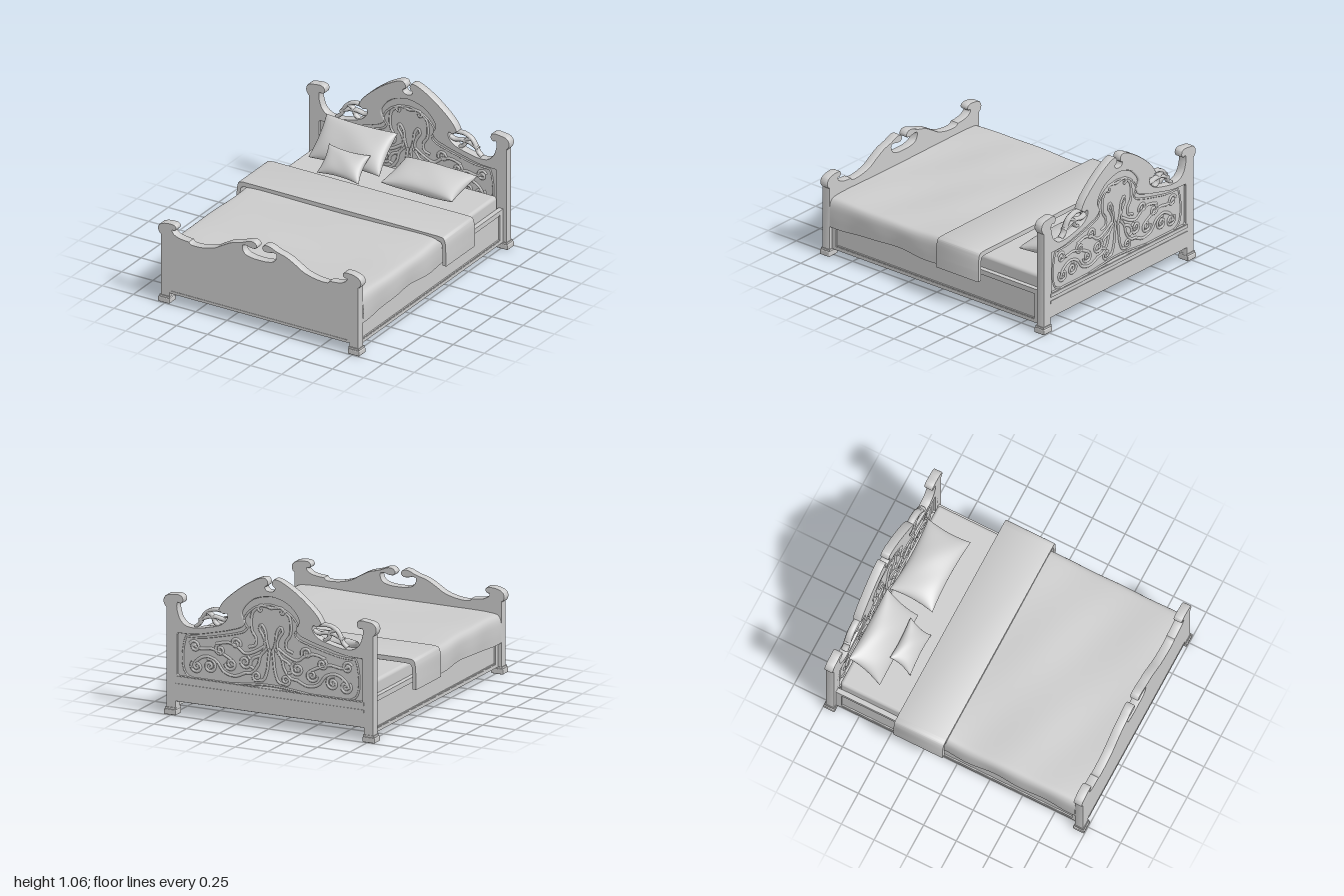
import * as THREE from 'three';
import { mergeGeometries, toCreasedNormals } from 'three/addons/utils/BufferGeometryUtils.js';
import { RoundedBoxGeometry } from 'three/addons/geometries/RoundedBoxGeometry.js';

const mat = new THREE.MeshStandardMaterial({ color: 0xcccccc, side: THREE.DoubleSide });

function add(parent, name, geo, x = 0, y = 0, z = 0) {
  const m = new THREE.Mesh(geo, mat);
  m.name = name;
  m.position.set(x, y, z);
  parent.add(m);
  return m;
}
const box = (p, name, w, h, d, x, y, z) => add(p, name, new THREE.BoxGeometry(w, h, d), x, y, z);

// Smooth run of 2D points
const smooth = (pts, n = 6) =>
  new THREE.CatmullRomCurve3(pts.map(([x, y]) => new THREE.Vector3(x, y, 0)), false, 'centripetal')
    .getPoints((pts.length - 1) * n).map(v => new THREE.Vector2(v.x, v.y));
// Closed outline: curved runs, then straight corners, down the right half; mirrored to the left
function mirrored(curves, corners) {
  const half = [...curves.flatMap(c => smooth(c)), ...corners.map(([x, y]) => new THREE.Vector2(x, y))]
    .filter((p, i, a) => i === 0 || p.distanceTo(a[i - 1]) > 1e-4);
  const left = half.filter(p => p.x > 1e-4).map(p => new THREE.Vector2(-p.x, p.y)).reverse();
  return [...half, ...left];
}
const slab = (pts, depth, hole, bevel = 0.006) => {
  const s = new THREE.Shape(pts);
  if (hole) s.holes.push(new THREE.Path(hole));
  const g = new THREE.ExtrudeGeometry(s, {
    depth: depth - 2 * bevel, bevelEnabled: bevel > 0, bevelSize: bevel * 0.5, bevelThickness: bevel, bevelSegments: 1,
  });
  g.translate(0, 0, -depth / 2 + bevel);
  return toCreasedNormals(g, 0.6);
};
// Carved strand, deeper in z so that it stands proud on both faces
const strand = (pts, r = 0.013, deep = 1.9, closed = false) => {
  const c = new THREE.CatmullRomCurve3(pts.map(p => new THREE.Vector3(p.x ?? p[0], p.y ?? p[1], 0)), closed, 'centripetal');
  return new THREE.TubeGeometry(c, Math.min(pts.length * 5, 240), r, 6, closed).scale(1, 1, deep);
};
const spiral = (cx, cy, r, turns, start, dir = 1) => Array.from({ length: 14 }, (_, i) => {
  const t = i / 13, a = start + dir * t * turns * Math.PI * 2, k = r * (1 - 0.8 * t);
  return [cx + Math.cos(a) * k, cy + Math.sin(a) * k];
});
const bothSides = (parent, name, geo, z) => {
  add(parent, name, geo, 0, 0, z);
  add(parent, name, geo, 0, 0, z).scale.x = -1;
};

// Plump cushion: two puffed faces meeting at a seam with pulled corners
function pillow(parent, name, w, h, t, pinch, pos, tilt, turn = 0) {
  const sides = [1, -1].map(s => {
    const g = new THREE.PlaneGeometry(2, 2, 28, 22), p = g.attributes.position;
    for (let i = 0; i < p.count; i++) {
      const u = Math.sin(p.getX(i) * Math.PI / 2), v = Math.sin(p.getY(i) * Math.PI / 2);
      const a = Math.max(0, 1 - u * u), b = Math.max(0, 1 - v * v);
      const puff = Math.pow(a * b, 0.42) * (1 + 0.04 * Math.sin(5 * u + 3 * v));
      p.setXYZ(i, s * u * w / 2 * (1 - pinch * 0.7 * b), v * h / 2 * (1 - pinch * a), s * puff * t / 2);
    }
    g.computeVertexNormals();
    return g;
  });
  const m = add(parent, name, mergeGeometries(sides), ...pos);
  m.rotation.set(tilt, turn, 0);
}

function headboard() {
  const g = new THREE.Group();
  g.name = 'headboard';
  const z = -0.953;
  const outline = mirrored([
    [[0, 0.965], [0.028, 0.972], [0.04, 0.995], [0.02, 1.012], [0.018, 1.035], [0.035, 1.055], [0.07, 1.052],
      [0.12, 1.03], [0.21, 0.975], [0.32, 0.885], [0.37, 0.83], [0.392, 0.79]],
    [[0.392, 0.79], [0.36, 0.765], [0.33, 0.77], [0.325, 0.735], [0.37, 0.685], [0.46, 0.655], [0.57, 0.635],
      [0.64, 0.642], [0.685, 0.68], [0.705, 0.73], [0.712, 0.775], [0.705, 0.8], [0.685, 0.795], [0.667, 0.81],
      [0.67, 0.84], [0.695, 0.853], [0.74, 0.85], [0.785, 0.842], [0.808, 0.82], [0.812, 0.79], [0.8, 0.765], [0.79, 0.755]],
  ], [[0.79, 0.04], [0.72, 0.04], [0.72, 0.1], [0, 0.1]]);
  const opening = mirrored([
    [[0, 0.935], [0.06, 0.925], [0.13, 0.9], [0.19, 0.85], [0.225, 0.79], [0.215, 0.75], [0.2, 0.725],
      [0.225, 0.69], [0.3, 0.66], [0.45, 0.62], [0.58, 0.592], [0.71, 0.585]],
  ], [[0.71, 0.28], [0, 0.28]]);
  add(g, 'archedFrame', slab(outline, 0.062, opening), 0, 0, z);
  add(g, 'backPanel', slab(opening, 0.026, null, 0), 0, 0, z);
  add(g, 'panelMoulding', strand(opening, 0.008, 4, true), 0, 0, z);
  const inner = opening.map(p => new THREE.Vector2(p.x * 0.91, 0.42 + (p.y - 0.42) * 0.87));
  add(g, 'innerMoulding', strand(inner, 0.01, 2.2, true), 0, 0, z);
  box(g, 'lowerLedge', 1.44, 0.025, 0.074, 0, 0.265, z);
  box(g, 'lowerLedge', 1.44, 0.02, 0.07, 0, 0.215, z);

  // Pierced straps beside the arch
  [[[0.37, 0.775], [0.44, 0.778], [0.5, 0.75], [0.53, 0.705], [0.55, 0.665], [0.58, 0.64]],
    [[0.31, 0.735], [0.36, 0.715], [0.42, 0.725], [0.48, 0.72], [0.55, 0.69]],
    [[0.49, 0.755], [0.45, 0.73], [0.435, 0.69], [0.4, 0.665]],
  ].forEach(p => bothSides(g, 'piercedStrap', strand(p, 0.014, 1.8), z));

  // Cartouche and leaf carving, on both faces
  [[[0, 0.845], [0.05, 0.855], [0.09, 0.85], [0.1, 0.825], [0.08, 0.815], [0.075, 0.835]],
    [[0.1, 0.84], [0.14, 0.8], [0.152, 0.74], [0.145, 0.67], [0.115, 0.62], [0.12, 0.57], [0.17, 0.55]],
    [[0.015, 0.54], [0.035, 0.61], [0.045, 0.68], [0.075, 0.72], [0.088, 0.69], [0.065, 0.65], [0.045, 0.6], [0.06, 0.53]],
    [[0.01, 0.56], [0.02, 0.48], [0.03, 0.4], [0.06, 0.33], [0.11, 0.32]],
    [[0.03, 0.56], [0.08, 0.5], [0.1, 0.43], [0.15, 0.37], [0.21, 0.36]],
    [[0.05, 0.57], [0.13, 0.52], [0.2, 0.5], [0.26, 0.54], [0.33, 0.56], [0.42, 0.54]],
    [[0.2, 0.36], [0.28, 0.33], [0.36, 0.35], [0.42, 0.42], [0.5, 0.44], [0.57, 0.4], [0.6, 0.35]],
    [[0.3, 0.44], [0.38, 0.48], [0.46, 0.5], [0.54, 0.49], [0.6, 0.51]],
    [[0.08, 0.5], [0.14, 0.47], [0.16, 0.42], [0.13, 0.4]],
    spiral(0.2, 0.44, 0.05, 1.5, 2), spiral(0.31, 0.41, 0.045, 1.4, 0, -1), spiral(0.39, 0.5, 0.04, 1.4, 1.5, -1),
    spiral(0.47, 0.375, 0.05, 1.5, 1.2), spiral(0.57, 0.36, 0.045, 1.5, 0.8, -1), spiral(0.585, 0.5, 0.04, 1.4, 0.4),
    spiral(0.27, 0.56, 0.04, 1.3, 3.5, -1), spiral(0.11, 0.35, 0.035, 1.3, -1.5),
  ].forEach(p => bothSides(g, 'leafCarving', strand(p), z));
  return g;
}

function footboard() {
  const g = new THREE.Group();
  g.name = 'footboard';
  const outline = mirrored([
    [[0, 0.515], [0.06, 0.518], [0.115, 0.535], [0.135, 0.565], [0.135, 0.595], [0.105, 0.6], [0.07, 0.592],
      [0.035, 0.595], [0.022, 0.615], [0.04, 0.637], [0.075, 0.64], [0.14, 0.615], [0.22, 0.592], [0.29, 0.555],
      [0.36, 0.515], [0.46, 0.49], [0.55, 0.49], [0.565, 0.505]],
    [[0.565, 0.505], [0.61, 0.508], [0.66, 0.518], [0.695, 0.54], [0.7, 0.56], [0.68, 0.562], [0.668, 0.58],
      [0.68, 0.598], [0.71, 0.603], [0.76, 0.597], [0.798, 0.58], [0.812, 0.55], [0.803, 0.522], [0.79, 0.512]],
  ], [[0.79, 0.04], [0.72, 0.04], [0.72, 0.08], [0, 0.08]]);
  add(g, 'scrolledBoard', slab(outline, 0.062), 0, 0, 0.953);
  box(g, 'lowerLip', 1.42, 0.02, 0.068, 0, 0.087, 0.953);
  return g;
}

// Bedspread: a U-shaped section swept from head to foot, with soft waves
function bedspread() {
  const section = smooth([[0.785, 0], [0.79, 0.08], [0.785, 0.15], [0.765, 0.18], [0.72, 0.19], [0.36, 0.192], [0, 0.192]], 4);
  const full = [...section, ...section.slice(0, -1).reverse().map(p => new THREE.Vector2(-p.x, p.y))];
  const geo = new THREE.PlaneGeometry(1, 1, full.length - 1, 50), p = geo.attributes.position;
  for (let j = 0, i = 0; j <= 50; j++) {
    const z = -0.3 + 1.22 * j / 50;
    for (const q of full) {
      const hang = 1 - q.y / 0.192, s = Math.sign(q.x);
      const hem = 0.243 + 0.01 * Math.sin(8 * z - 1.6) - 0.018 * z * z;
      const y = THREE.MathUtils.lerp(0.432 + 0.005 * Math.sin(7 * z + 3 * q.x) + 0.003 * Math.sin(13 * z - 5 * q.x), hem, hang);
      p.setXYZ(i++, q.x + s * hang * 0.006 * Math.sin(16 * z), y, z);
    }
  }
  geo.computeVertexNormals();
  return geo;
}

export function createModel() {
  const bed = new THREE.Group();
  bed.name = 'bed';
  bed.add(headboard(), footboard());

  // Feet and panelled side rails
  for (const sx of [1, -1]) {
    for (const sz of [1, -1]) {
      add(bed, 'foot', new RoundedBoxGeometry(0.092, 0.038, 0.085, 2, 0.006), sx * 0.76, 0.019, sz * 0.955);
      box(bed, 'footCollar', 0.082, 0.016, 0.074, sx * 0.757, 0.044, sz * 0.953);
    }
    const rail = new THREE.Group();
    rail.name = 'sideRail';
    bed.add(rail);
    box(rail, 'railPanel', 0.02, 0.24, 1.85, sx * 0.743, 0.175, 0);
    box(rail, 'railTop', 0.035, 0.03, 1.85, sx * 0.748, 0.287, 0);
    box(rail, 'railBottom', 0.035, 0.025, 1.85, sx * 0.748, 0.062, 0);
    for (const z of [-0.9, 0.905]) box(rail, 'railStile', 0.035, 0.24, 0.04, sx * 0.748, 0.175, z);
    for (const y of [0.078, 0.268]) box(rail, 'railBead', 0.012, 0.008, 1.76, sx * 0.757, y, 0);
    box(rail, 'slatLedge', 0.03, 0.03, 1.84, sx * 0.72, 0.185, 0);
  }

  // Slatted base
  for (let i = 0; i < 14; i++) box(bed, 'slat', 1.46, 0.02, 0.085, 0, 0.21, -0.855 + i * 0.1315);
  box(bed, 'centreBeam', 0.05, 0.035, 1.84, 0, 0.183, 0);

  // Bedding
  add(bed, 'mattress', new RoundedBoxGeometry(1.46, 0.17, 1.82, 3, 0.025), 0, 0.313, 0);
  add(bed, 'bedspread', bedspread());
  const fold = mirrored([
    [[0.78, 0.458], [0.818, 0.45], [0.832, 0.42], [0.838, 0.33], [0.838, 0.245]],
    [[0.812, 0.245], [0.81, 0.36], [0.8, 0.415], [0.76, 0.425]],
  ], [[0, 0.425]]);
  add(bed, 'foldedThrow', slab(fold, 0.375, null, 0.004), 0, 0, -0.255);

  pillow(bed, 'flatPillow', 0.57, 0.33, 0.15, 0.09, [0.285, 0.475, -0.742], -1.4);
  pillow(bed, 'leaningPillow', 0.57, 0.33, 0.15, 0.09, [-0.345, 0.555, -0.775], -0.8);
  pillow(bed, 'smallPillow', 0.33, 0.22, 0.1, 0.16, [-0.305, 0.5, -0.59], -0.8, 0.04);
  return bed;
}
